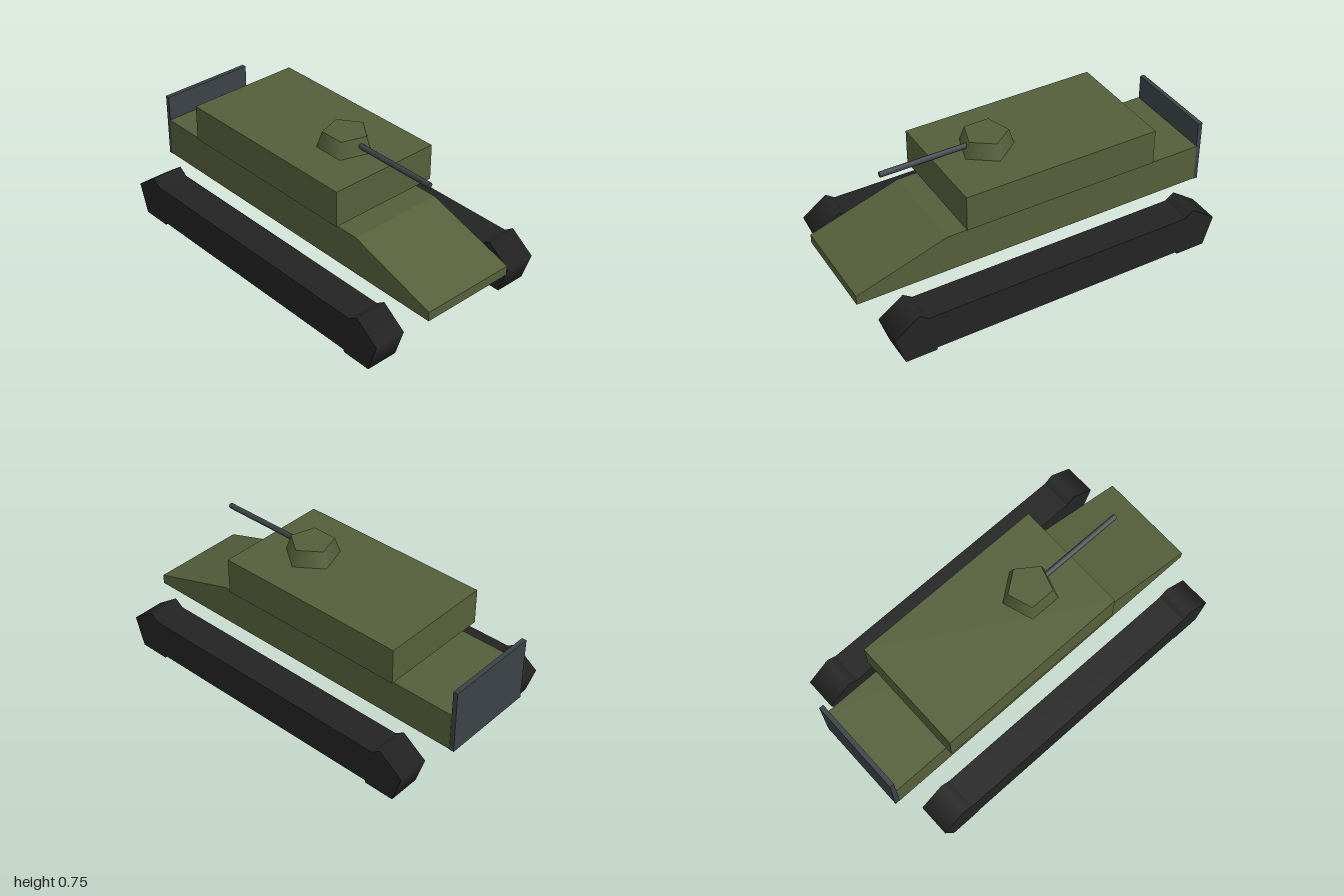
import * as THREE from 'three';

export function createModel() {
  const model = new THREE.Group();
  model.name = 'tank';

  const material = (name, color) => {
    const m = new THREE.MeshStandardMaterial({ color });
    m.name = name;
    return m;
  };
  const olive = material('olive paint', 0x555f3a);
  const steel = material('dark steel', 0x3b4246);
  const rubber = material('black track', 0x232323);

  const add = (name, geometry, mat, x = 0, y = 0, z = 0) => {
    const mesh = new THREE.Mesh(geometry, mat);
    mesh.name = name;
    mesh.position.set(x, y, z);
    model.add(mesh);
    return mesh;
  };
  // Box given by its width and its y and z limits
  const addBox = (name, mat, x, width, y0, y1, z0, z1) =>
    add(name, new THREE.BoxGeometry(width, y1 - y0, z1 - z0), mat, x, (y0 + y1) / 2, (z0 + z1) / 2);

  // Hull: side profile with sloped nose, extruded across the width
  const hullWidth = 0.534;
  const profile = new THREE.Shape(
    [[-0.975, 0.21], [1, 0.21], [1, 0.262], [0.505, 0.42], [-0.975, 0.42]]
      .map(([z, y]) => new THREE.Vector2(z, y))
  );
  const hull = new THREE.ExtrudeGeometry(profile, { depth: hullWidth, bevelEnabled: false });
  hull.rotateY(-Math.PI / 2); // profile x becomes z
  hull.translate(hullWidth / 2, 0, 0);
  add('hull', hull, olive);

  // Plate closing the tail, and the raised upper body
  addBox('rearPlate', steel, 0, 0.53, 0.205, 0.56, -1, -0.975);
  addBox('upperBody', olive, 0, 0.634, 0.463, 0.66, -0.66, 0.422);

  // Five-sided turret with one corner towards +x
  add('turret', new THREE.CylinderGeometry(0.117, 0.145, 0.086, 5, 1, false, Math.PI / 2), olive, 0, 0.703, 0.14);

  // Six-sided gun barrel
  const barrel = new THREE.CylinderGeometry(0.015, 0.015, 0.54, 6, 1, false, Math.PI / 2);
  barrel.rotateX(Math.PI / 2);
  add('gunBarrel', barrel, steel, 0, 0.704, 0.45);

  // Tracks: a long beam with a five-sided wheel at each end
  const trackWidth = 0.175;
  const wheel = new THREE.CylinderGeometry(0.141, 0.141, trackWidth, 5);
  wheel.rotateZ(Math.PI / 2);
  wheel.rotateX(-Math.PI / 2); // one corner straight up
  for (const [side, x] of [['left', 0.447], ['right', -0.447]]) {
    addBox(side + 'Track', rubber, x, trackWidth, 0.014, 0.22, -0.775, 0.8);
    add(side + 'FrontWheel', wheel, rubber, x, 0.114, 0.8);
    add(side + 'RearWheel', wheel, rubber, x, 0.114, -0.775);
  }

  return model;
}
